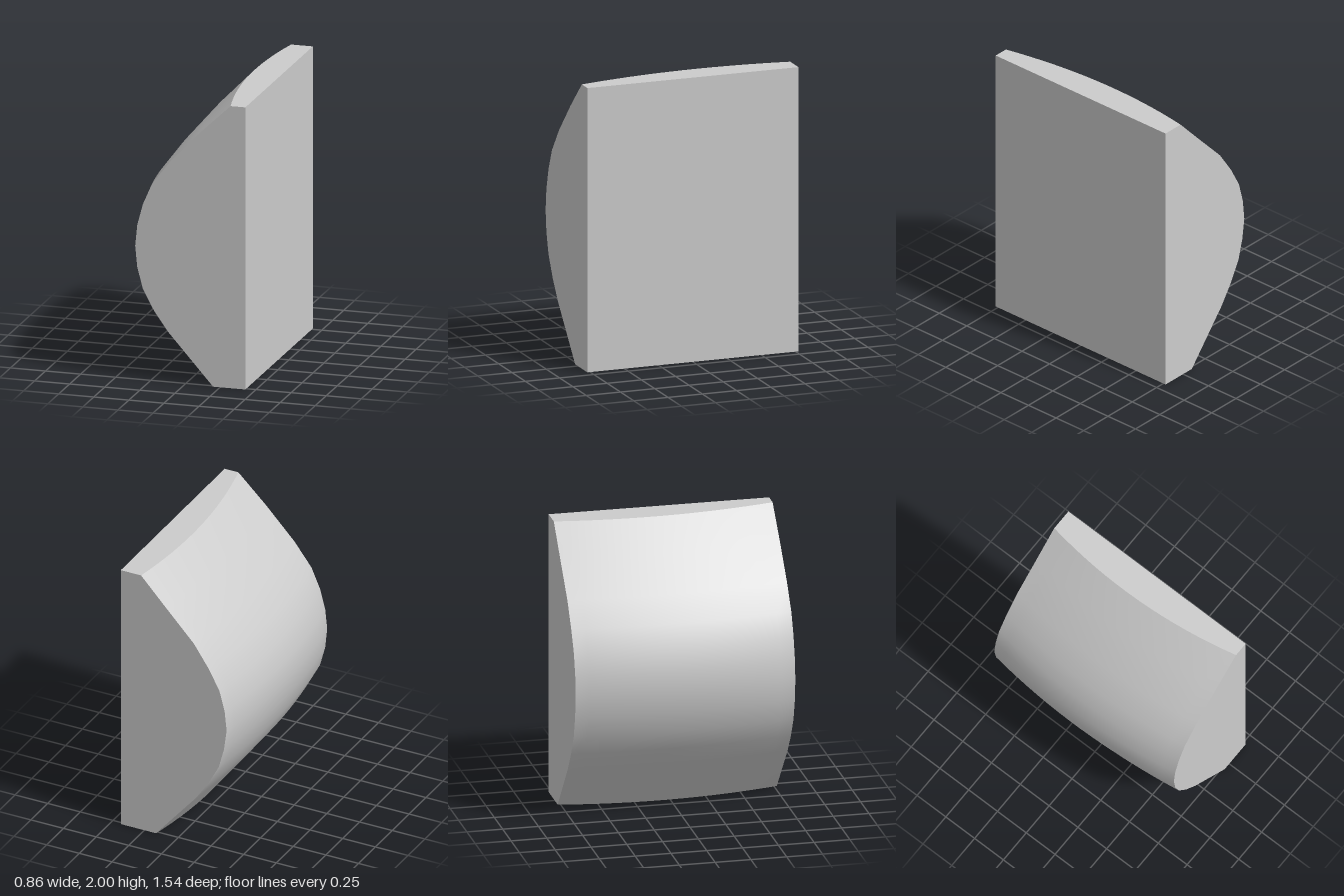
import * as THREE from 'three';
import { toCreasedNormals } from 'three/addons/utils/BufferGeometryUtils.js';

const HALF_X = 0.43, HALF_Z = 0.77, MID_Z = -0.1;

// Bulge profile rows, bottom to top: y, then x at the front, middle and back
const ROWS = [
  [0, 0.2, 0.09, 0.16],
  [0.36, -0.12, -0.185, -0.145],
  [0.5, -0.22, -0.29, -0.24],
  [0.65, -0.3, -0.365, -0.32],
  [0.8, -0.34, -0.41, -0.36],
  [0.95, -0.355, -0.43, -0.38],
  [1.1, -0.34, -0.42, -0.365],
  [1.25, -0.3, -0.375, -0.325],
  [1.4, -0.235, -0.3, -0.245],
  [1.57, -0.105, -0.175, -0.13],
  [1.8, 0.115, 0.025, 0.088],
  [2, 0.325, 0.22, 0.275],
];

// Parabola in z through the front, middle and back values
function bulgeX([, front, middle, back], z) {
  const a = HALF_Z, b = MID_Z, c = -HALF_Z;
  return front * (z - b) * (z - c) / ((a - b) * (a - c))
    + middle * (z - a) * (z - c) / ((b - a) * (b - c))
    + back * (z - a) * (z - b) / ((c - a) * (c - b));
}

export function createModel() {
  const group = new THREE.Group();
  group.name = 'bulgedBlock';

  // Block with flat sides whose -x face is pushed out to the double-curved bulge
  const steps = ROWS.length - 1;
  const box = new THREE.BoxGeometry(2, 2, HALF_Z * 2, 1, steps, 16);
  const pos = box.attributes.position;
  for (let i = 0; i < pos.count; i++) {
    const row = ROWS[Math.round((pos.getY(i) + 1) / 2 * steps)];
    const z = pos.getZ(i);
    pos.setXYZ(i, pos.getX(i) > 0 ? HALF_X : bulgeX(row, z), row[0], z);
  }

  const block = new THREE.Mesh(
    toCreasedNormals(box, Math.PI / 6),
    new THREE.MeshStandardMaterial({ color: 0xcccccc })
  );
  block.name = 'curvedBlock';
  group.add(block);
  return group;
}
